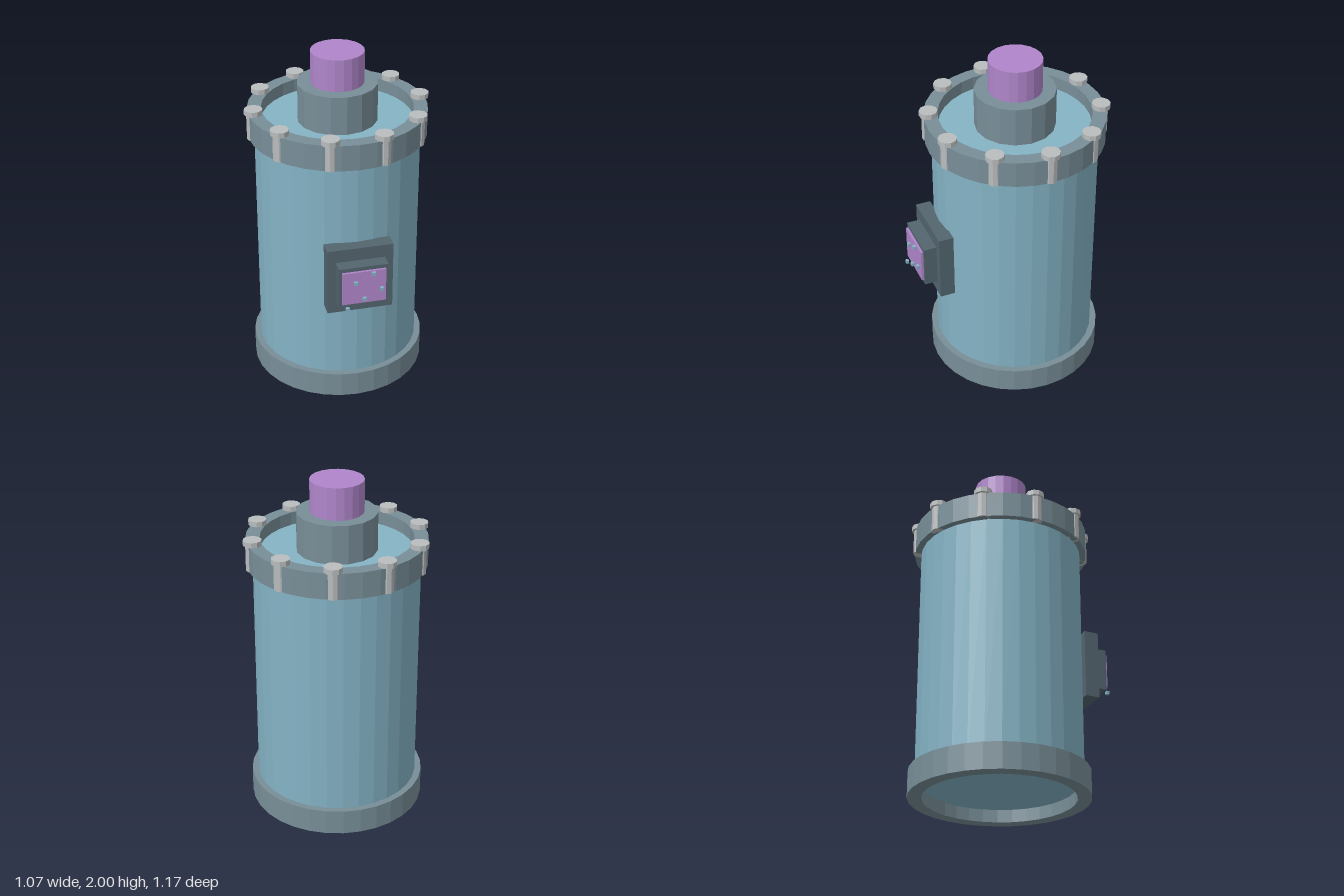
import * as THREE from 'three';

const AXIS_Z = -0.072;

const mat = (name, color) => {
  const m = new THREE.MeshStandardMaterial({ color, flatShading: true });
  m.name = name;
  return m;
};

export function createModel() {
  const model = new THREE.Group();
  model.name = 'tank';

  const teal = mat('teal', 0x84b3c5);
  const grey = mat('blueGrey', 0x788e98);
  const dark = mat('darkSlate', 0x53656f);
  const purple = mat('purple', 0xb086cb);
  const steel = mat('steel', 0xbabdbe);

  const add = (parent, name, geometry, material, x = 0, y = 0, z = 0) => {
    const mesh = new THREE.Mesh(geometry, material);
    mesh.name = name;
    mesh.position.set(x, y, z);
    parent.add(mesh);
    return mesh;
  };

  // Upright cylinder between two heights
  const cylinder = (parent, name, r, y0, y1, sides, material, x = 0, z = 0) =>
    add(parent, name, new THREE.CylinderGeometry(r, r, y1 - y0, sides), material, x, (y0 + y1) / 2, z);

  // Box from half width, height range and depth range
  const box = (parent, name, w, y0, y1, z0, z1, material, x = 0) =>
    add(parent, name, new THREE.BoxGeometry(w, y1 - y0, z1 - z0), material, x, (y0 + y1) / 2, (z0 + z1) / 2);

  // Vessel, all turned around one axis
  const vessel = new THREE.Group();
  vessel.name = 'vessel';
  vessel.position.z = AXIS_Z;
  model.add(vessel);

  cylinder(vessel, 'body', 0.475, 0.075, 1.585, 32, teal);
  cylinder(vessel, 'hub', 0.23, 1.585, 1.812, 16, grey);
  cylinder(vessel, 'topShaft', 0.153, 1.75, 2, 20, purple);

  // Square-section flanges around both ends
  const section = [[0.433, 0], [0.513, 0], [0.513, 0.152], [0.433, 0.152], [0.433, 0]]
    .map(([x, y]) => new THREE.Vector2(x, y));
  const flange = new THREE.LatheGeometry(section, 32);
  add(vessel, 'baseFlange', flange, grey);
  add(vessel, 'topFlange', flange, grey, 0, 1.51, 0);

  // Ten bolts round the top flange
  for (let i = 0; i < 10; i++) {
    const a = (i / 10) * Math.PI * 2;
    const bolt = new THREE.Group();
    bolt.name = 'bolt';
    bolt.position.set(Math.cos(a) * 0.484, 0, Math.sin(a) * 0.484);
    bolt.rotation.y = Math.PI / 2;
    cylinder(bolt, 'boltShank', 0.04, 1.51, 1.662, 10, steel);
    cylinder(bolt, 'boltHead', 0.053, 1.662, 1.692, 10, steel);
    vessel.add(bolt);
  }

  // Control box on the front
  const control = new THREE.Group();
  control.name = 'controlBox';
  model.add(control);
  box(control, 'mountingPlate', 0.38, 0.63, 1.037, 0.385, 0.472, dark);
  box(control, 'housing', 0.284, 0.71, 0.96, 0.47, 0.548, dark);
  box(control, 'screen', 0.252, 0.733, 0.937, 0.546, 0.562, purple);

  // Small studs scattered over the screen
  [[-0.098, 0.71], [-0.05, 0.873], [0, 0.765], [0.05, 0.925], [0.098, 0.819]].forEach(([x, y]) =>
    box(control, 'stud', 0.02, y - 0.01, y + 0.01, 0.566, 0.583, teal, x));

  return model;
}
